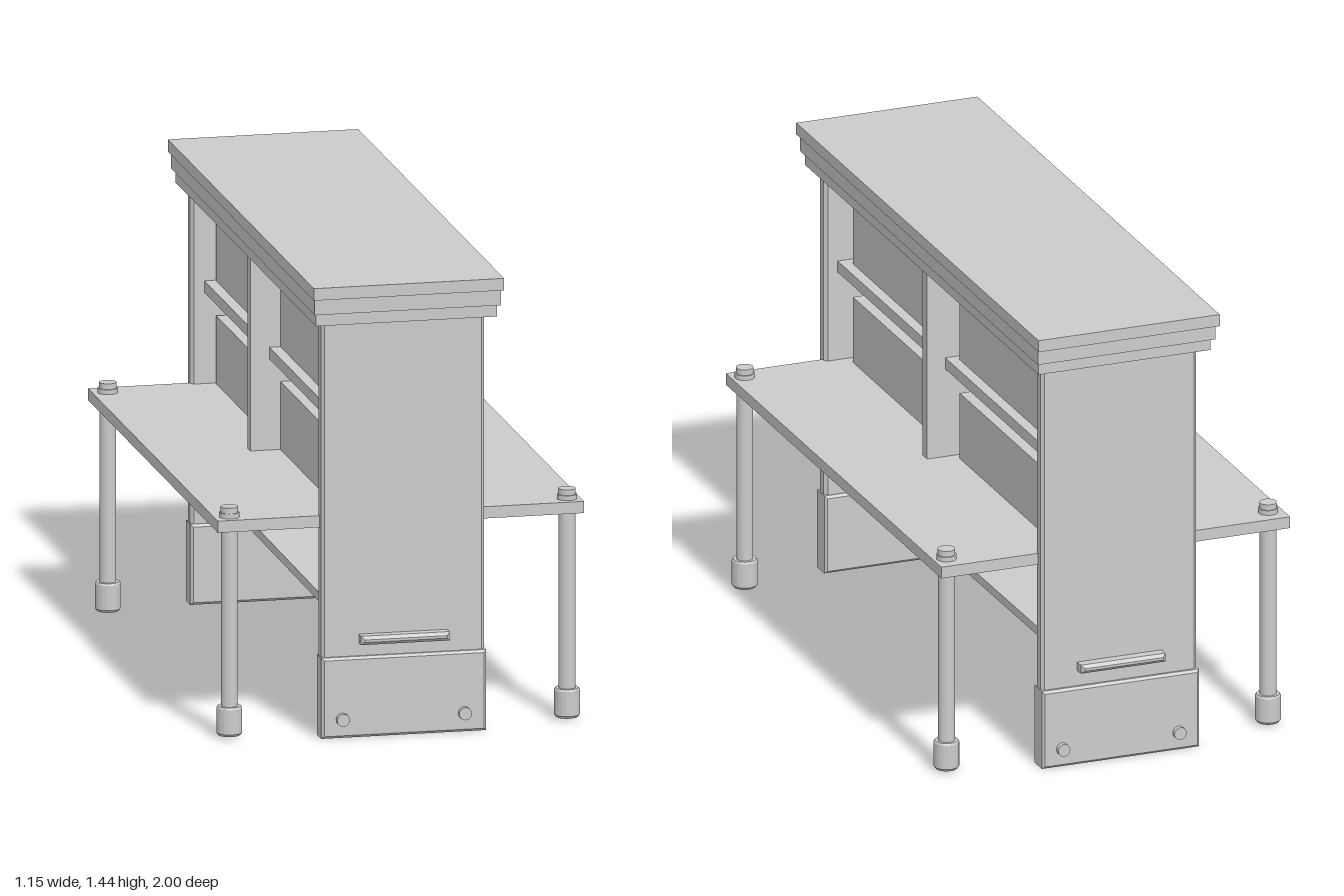
import * as THREE from 'three';

const material = new THREE.MeshStandardMaterial({ color: 0xcccccc, flatShading: true });
const smooth = new THREE.MeshStandardMaterial({ color: 0xcccccc });

function add(parent, name, geometry, x, y, z, mat = material) {
  const mesh = new THREE.Mesh(geometry, mat);
  mesh.name = name;
  mesh.position.set(x, y, z);
  parent.add(mesh);
  return mesh;
}

// Plain board from its extents
function board(parent, name, w, y0, y1, z0, z1) {
  return add(parent, name, new THREE.BoxGeometry(w, y1 - y0, z1 - z0), 0, (y0 + y1) / 2, (z0 + z1) / 2);
}

// Box with chamfered edges, centred on the origin
function chamferBox(w, h, d, c) {
  const x = w / 2 - c, y = h / 2 - c;
  const shape = new THREE.Shape([
    new THREE.Vector2(-x, -y), new THREE.Vector2(x, -y),
    new THREE.Vector2(x, y), new THREE.Vector2(-x, y),
  ]);
  const geometry = new THREE.ExtrudeGeometry(shape, {
    depth: d - 2 * c, bevelEnabled: true, bevelThickness: c, bevelSize: c, bevelSegments: 1,
  });
  return geometry.translate(0, 0, -d / 2 + c);
}

function cylinder(r, h) {
  return new THREE.CylinderGeometry(r, r, h, 24);
}

// Leg with foot, pole and bolted cap
function createLeg() {
  const leg = new THREE.Group();
  leg.name = 'leg';
  const foot = [[0, 0.008], [0.034, 0.008], [0.04, 0.016], [0.04, 0.094], [0.036, 0.1], [0, 0.1]]
    .map(([r, y]) => new THREE.Vector2(r, y));
  add(leg, 'foot', new THREE.LatheGeometry(foot, 20), 0, 0, 0);
  add(leg, 'pole', cylinder(0.026, 0.6), 0, 0.395, 0, smooth);
  add(leg, 'collar', cylinder(0.031, 0.018), 0, 0.703, 0, smooth);
  add(leg, 'cap', cylinder(0.027, 0.035), 0, 0.7125, 0, smooth);
  return leg;
}

// End wall with its plinth and bolts, facing +z
function createEnd() {
  const end = new THREE.Group();
  end.name = 'end';
  add(end, 'endPanel', chamferBox(0.515, 1.12, 0.05, 0.01), 0, 0.76, 0.895);
  add(end, 'plinth', chamferBox(0.52, 0.255, 0.075, 0.008), 0, 0.1275, 0.8975);
  for (const x of [-0.195, 0.19]) {
    const bolt = add(end, 'bolt', cylinder(0.02, 0.03), x, 0.06, 0.936, smooth);
    bolt.rotation.x = Math.PI / 2;
  }
  return end;
}

export function createModel() {
  const model = new THREE.Group();
  model.name = 'doubleSidedDesk';

  // Stepped cornice
  board(model, 'corniceTop', 0.6, 1.405, 1.443, -1, 1);
  board(model, 'corniceMiddle', 0.588, 1.355, 1.405, -0.98, 0.985);
  board(model, 'corniceBottom', 0.57, 1.315, 1.355, -0.962, 0.965);

  // End walls
  const front = createEnd();
  const back = createEnd();
  back.rotation.y = Math.PI;
  model.add(front, back);

  // Desk top, shelf and centre divider
  board(model, 'deskTop', 1.155, 0.66, 0.697, -0.89, 0.89);
  board(model, 'shelf', 0.43, 0.985, 1.022, -0.872, 0.872);
  board(model, 'divider', 0.55, 0.69, 1.32, -0.018, 0.02);

  // Blocks filling the shelves
  for (const [y0, y1] of [[0.697, 0.912], [1.02, 1.232]]) {
    board(model, 'shelfBlock', 0.36, y0, y1, 0.02, 0.832);
    board(model, 'shelfBlock', 0.36, y0, y1, -0.86, -0.05);
  }

  // Foot rail running through both ends
  const rail = add(model, 'footRail', chamferBox(0.28, 0.028, 1.92, 0.01), 0, 0.314, 0);
  rail.rotation.x = 0.005;

  // Legs
  for (const x of [-0.53, 0.535]) {
    for (const z of [-0.825, 0.84]) {
      const leg = createLeg();
      leg.position.set(x, 0, z);
      model.add(leg);
    }
  }
  return model;
}
